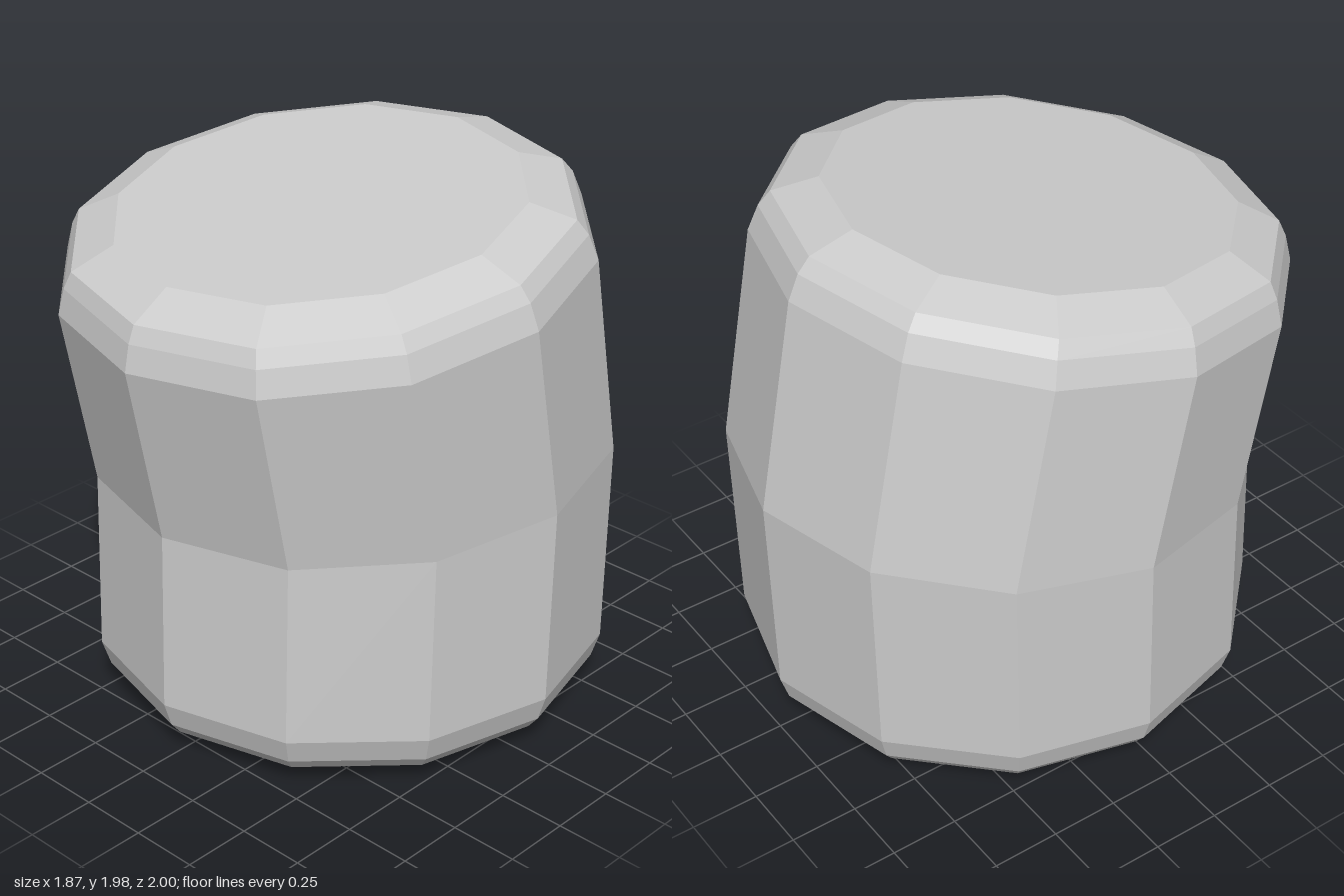
import * as THREE from 'three';

// Cross-sections from bottom to top: front point (z, y), back point (z, y), half width in x
const RINGS = [
  [0.67, 0.0, -0.765, 0.0, 0.715],
  [0.82, 0.075, -0.915, 0.075, 0.865],
  [0.86, 0.125, -0.955, 0.125, 0.905],
  [0.89, 0.22, -0.985, 0.22, 0.935],
  [0.87, 0.88, -1.0, 1.01, 0.935],
  [1.0, 1.535, -0.85, 1.8, 0.935],
  [0.98, 1.63, -0.81, 1.89, 0.905],
  [0.955, 1.69, -0.765, 1.94, 0.87],
  [0.81, 1.775, -0.6, 1.98, 0.715],
];

export function createModel() {
  const group = new THREE.Group();
  group.name = 'bentBarrel';

  // Twelve-sided closed cylinder, each ring moved onto its tilted cross-section
  const steps = RINGS.length - 1;
  const geometry = new THREE.CylinderGeometry(1, 1, steps, 12, steps);
  const pos = geometry.attributes.position;
  for (let i = 0; i < pos.count; i++) {
    const [zf, yf, zb, yb, rx] = RINGS[Math.round(pos.getY(i) + steps / 2)];
    const t = (1 - pos.getZ(i)) / 2; // 0 at the front, 1 at the back
    pos.setXYZ(
      i,
      pos.getX(i) * rx,
      THREE.MathUtils.lerp(yf, yb, t),
      THREE.MathUtils.lerp(zf, zb, t)
    );
  }
  geometry.computeVertexNormals();

  const body = new THREE.Mesh(
    geometry,
    new THREE.MeshStandardMaterial({ color: 0xcccccc, flatShading: true })
  );
  body.name = 'body';
  group.add(body);
  return group;
}
